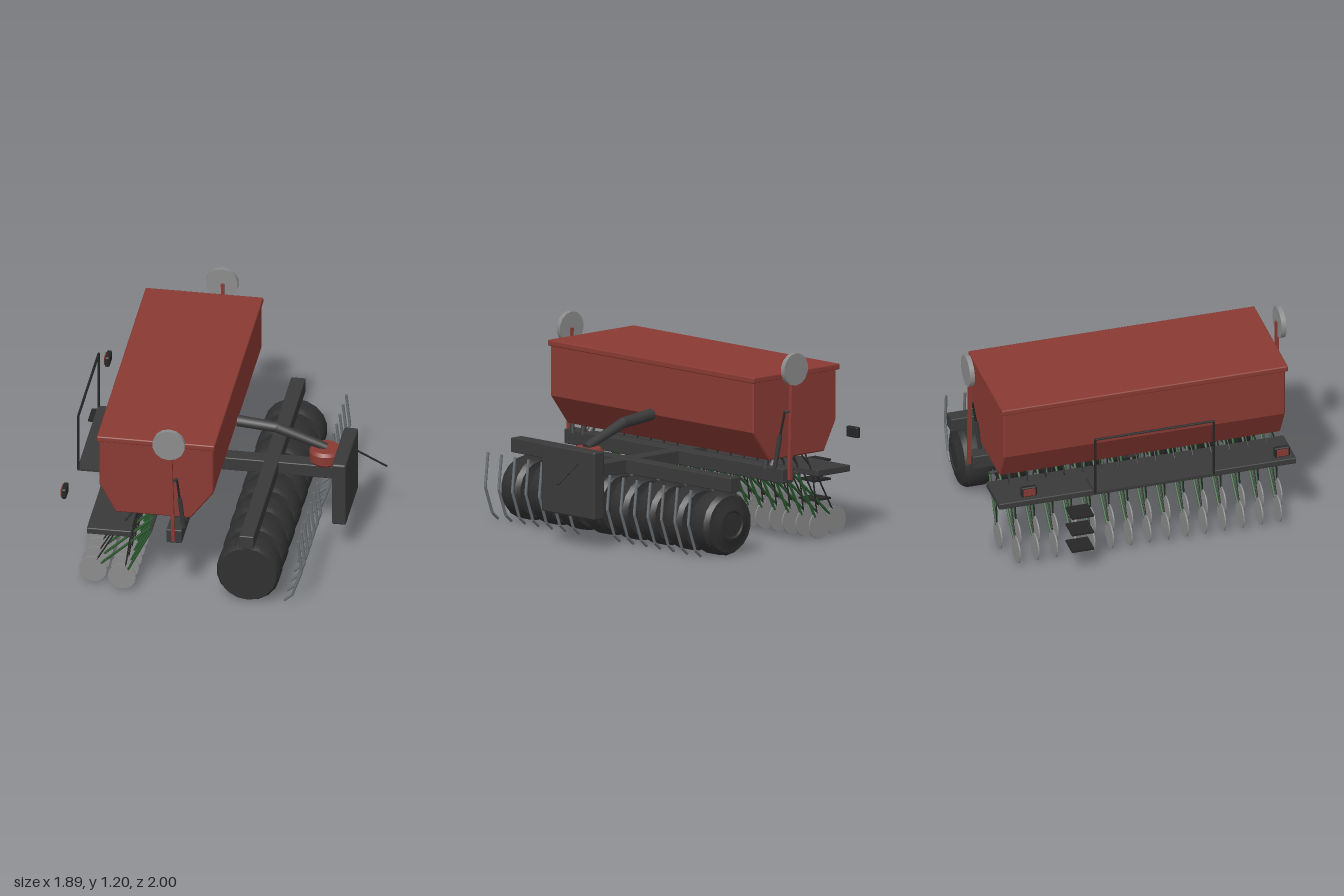
import * as THREE from 'three';
import { toCreasedNormals } from 'three/addons/utils/BufferGeometryUtils.js';
import { RoundedBoxGeometry } from 'three/addons/geometries/RoundedBoxGeometry.js';

const material = (name, color) => Object.assign(new THREE.MeshStandardMaterial({ color }), { name });

export function createModel() {
  const model = new THREE.Group();
  model.name = 'seedDrill';
  const red = material('red paint', 0x8a3a33);
  const dark = material('dark frame', 0x3a3a3a);
  const rubber = material('black rubber', 0x303030);
  const black = material('black tube', 0x262626);
  const disc = material('disc steel', 0x8c8c8c);
  const steel = material('tine steel', 0x6c7073);
  const green = material('green arm', 0x2c5a30);

  const V = (x, y, z) => new THREE.Vector3(x, y, z);
  const add = (name, geometry, mat, x = 0, y = 0, z = 0) => {
    const mesh = new THREE.Mesh(geometry, mat);
    mesh.name = name;
    mesh.position.set(x, y, z);
    model.add(mesh);
    return mesh;
  };
  // Box given by its limits, with softened edges when r > 0
  const box = (name, mat, x0, x1, y0, y1, z0, z1, r = 0) => {
    const s = [x1 - x0, y1 - y0, z1 - z0];
    const g = r ? new RoundedBoxGeometry(...s, 1, r) : new THREE.BoxGeometry(...s);
    return add(name, g, mat, (x0 + x1) / 2, (y0 + y1) / 2, (z0 + z1) / 2);
  };
  // Round bar between two points
  const rod = (name, mat, a, b, r, r2 = r, sides = 6) => {
    const d = b.clone().sub(a);
    const mesh = add(name, new THREE.CylinderGeometry(r2, r, d.length(), sides), mat);
    mesh.position.copy(a).addScaledVector(d, 0.5);
    mesh.quaternion.setFromUnitVectors(V(0, 1, 0), d.normalize());
    return mesh;
  };
  // Chain of straight bars through several points
  const bentRod = (name, mat, pts, r) => {
    for (let i = 1; i < pts.length; i++) rod(name, mat, pts[i - 1], pts[i], r);
  };

  // Seed hopper and lid
  const b = 0.008;
  const profile = new THREE.Shape([
    [-0.56, 0.55], [-0.1, 0.55], [0.04, 0.735], [0.04, 1.045], [-0.66, 1.045], [-0.66, 0.735],
  ].map(([x, y]) => new THREE.Vector2(x, y)));
  const hopper = new THREE.ExtrudeGeometry(profile, {
    depth: 1.78 - 2 * b, bevelEnabled: true, bevelSize: b, bevelThickness: b, bevelOffset: -b, bevelSegments: 1,
  });
  add('hopper', hopper, red, 0, 0, -0.89 + b);
  box('hopperLid', red, -0.675, 0.05, 1.04, 1.077, -0.905, 0.905, 0.008);

  // Frame
  box('drawbar', dark, -0.38, 0.655, 0.41, 0.495, -0.05, 0.05, 0.006);
  box('rearCrossBeam', dark, -0.237, -0.142, 0.408, 0.498, -0.96, 0.96, 0.006);
  box('wheelCrossBeam', dark, 0.21, 0.3, 0.408, 0.498, -0.965, 0.965, 0.006);
  box('footboard', dark, -0.73, -0.455, 0.41, 0.45, -0.94, 0.94, 0.006);
  for (const z of [-0.8, 0.8]) {
    rod('hopperSupport', dark, V(-0.25, 0.56, z), V(-0.2, 0.48, z), 0.022);
    rod('hopperSupport', dark, V(-0.16, 0.56, z), V(-0.15, 0.48, z), 0.018);
  }

  // Hitch: headstock plate, turntable, air pipe and lever
  box('headstock', dark, 0.657, 0.745, 0.197, 0.615, -0.235, 0.23, 0.012);
  const drum = new THREE.LatheGeometry([
    [0, 0], [0.085, 0], [0.1, 0.018], [0.1, 0.075], [0.085, 0.095], [0, 0.095],
  ].map(([r, y]) => new THREE.Vector2(r, y)), 20);
  add('turntable', toCreasedNormals(drum, 0.5), red, 0.583, 0.505, 0);
  const pipePoints = [V(0.04, 0.735, 0), V(0.28, 0.712, 0), V(0.59, 0.6, 0)];
  rod('airPipe', dark, pipePoints[0], pipePoints[1], 0.036, 0.034, 10);
  rod('airPipe', dark, pipePoints[1], pipePoints[2], 0.034, 0.026, 10);
  add('airPipeElbow', new THREE.SphereGeometry(0.034, 10, 8), dark, 0.28, 0.712, 0);
  rod('hitchLever', black, V(0.735, 0.547, -0.1), V(0.94, 0.43, -0.12), 0.006);

  // Packer wheels, hub bulging to one side
  const wheel = toCreasedNormals(new THREE.LatheGeometry([
    [0, -0.1], [0.075, -0.1], [0.085, -0.108], [0.105, -0.104], [0.14, -0.085], [0.175, -0.083],
    [0.195, -0.052], [0.195, 0.052], [0.178, 0.083], [0, 0.083],
  ].map(([r, y]) => new THREE.Vector2(r, y)), 18), 0.5);
  wheel.rotateX(Math.PI / 2);
  for (let i = 0; i < 8; i++) add('packerWheel', wheel, rubber, 0.253, 0.203, (i - 3.5) * 0.237);
  rod('wheelAxle', rubber, V(0.253, 0.203, -0.85), V(0.253, 0.203, 0.85), 0.03);

  // Front tines
  for (const side of [-1, 1]) for (let i = 0; i < 7; i++) {
    const z = side * (0.18 + i * 0.1185);
    bentRod('frontTine', steel,
      [V(0.56, 0.45, z), V(0.583, 0.24, z), V(0.525, 0.075, z), V(0.475, 0.032, z)], 0.009);
  }

  // Two staggered rows of coulter discs with arms and seed tubes
  const coulter = new THREE.CylinderGeometry(0.086, 0.086, 0.008, 16).rotateX(Math.PI / 2);
  const rows = [
    { x: -0.71, n: 15, arm: [-0.66, 0.145], bend: [-0.56, 0.39], tip: [-0.685, 0.17] },
    { x: -0.522, n: 16, arm: [-0.485, 0.15], bend: [-0.465, 0.42], tip: [-0.5, 0.17] },
  ];
  for (const { x, n, arm, bend, tip } of rows) for (let i = 0; i < n; i++) {
    const z = (i - (n - 1) / 2) * 0.118;
    add('coulterDisc', coulter, disc, x, 0.1, z);
    rod('coulterArm', green, V(-0.34, 0.44, z), V(...arm, z), 0.008);
    bentRod('seedTube', black, [V(-0.43, 0.56, z * 0.96), V(...bend, z), V(...tip, z)], 0.005);
  }
  rod('coulterBar', dark, V(-0.345, 0.44, -0.89), V(-0.345, 0.44, 0.89), 0.01);

  // Side markers: pole, disc and hydraulic ram
  const marker = new THREE.CylinderGeometry(0.1, 0.1, 0.03, 14).rotateX(Math.PI / 2);
  for (const s of [-1, 1]) {
    add('markerDisc', marker, disc, -0.217, 1.11, s * 0.985);
    const pole = box('markerPole', red, -0.01, 0.01, -0.34, 0.34, -0.012, 0.012);
    pole.position.set(-0.202, 0.77, s * 0.97);
    pole.rotation.z = 0.03;
    const foot = V(-0.143, 0.48, s * 0.885), mid = V(-0.162, 0.7, s * 0.918), top = V(-0.175, 0.85, s * 0.945);
    rod('ramCylinder', dark, foot, mid, 0.014, 0.014, 8);
    rod('ramRod', black, mid, top, 0.007);
    rod('ramPin', dark, top, V(-0.19, 0.85, s * 0.97), 0.01);
  }

  // Rear walkway and guard rail
  box('walkway', dark, -0.88, -0.69, 0.515, 0.53, -0.38, 0.38);
  bentRod('guardRail', black, [
    V(-0.874, 0.52, -0.375), V(-0.874, 0.9, -0.375), V(-0.874, 0.9, 0.375), V(-0.874, 0.52, 0.375),
  ], 0.008);

  // Steps
  for (const y of [0.168, 0.286, 0.404])
    box('step', black, -0.945, -0.807, y - 0.006, y + 0.006, -0.543, -0.403);

  // Rear lamps
  for (const z of [-0.8, 0.8]) {
    box('lampHousing', black, -0.902, -0.87, 0.583, 0.65, z - 0.05, z + 0.05, 0.01);
    box('lampLens', red, -0.908, -0.901, 0.594, 0.639, z - 0.036, z + 0.036);
  }
  return model;
}
